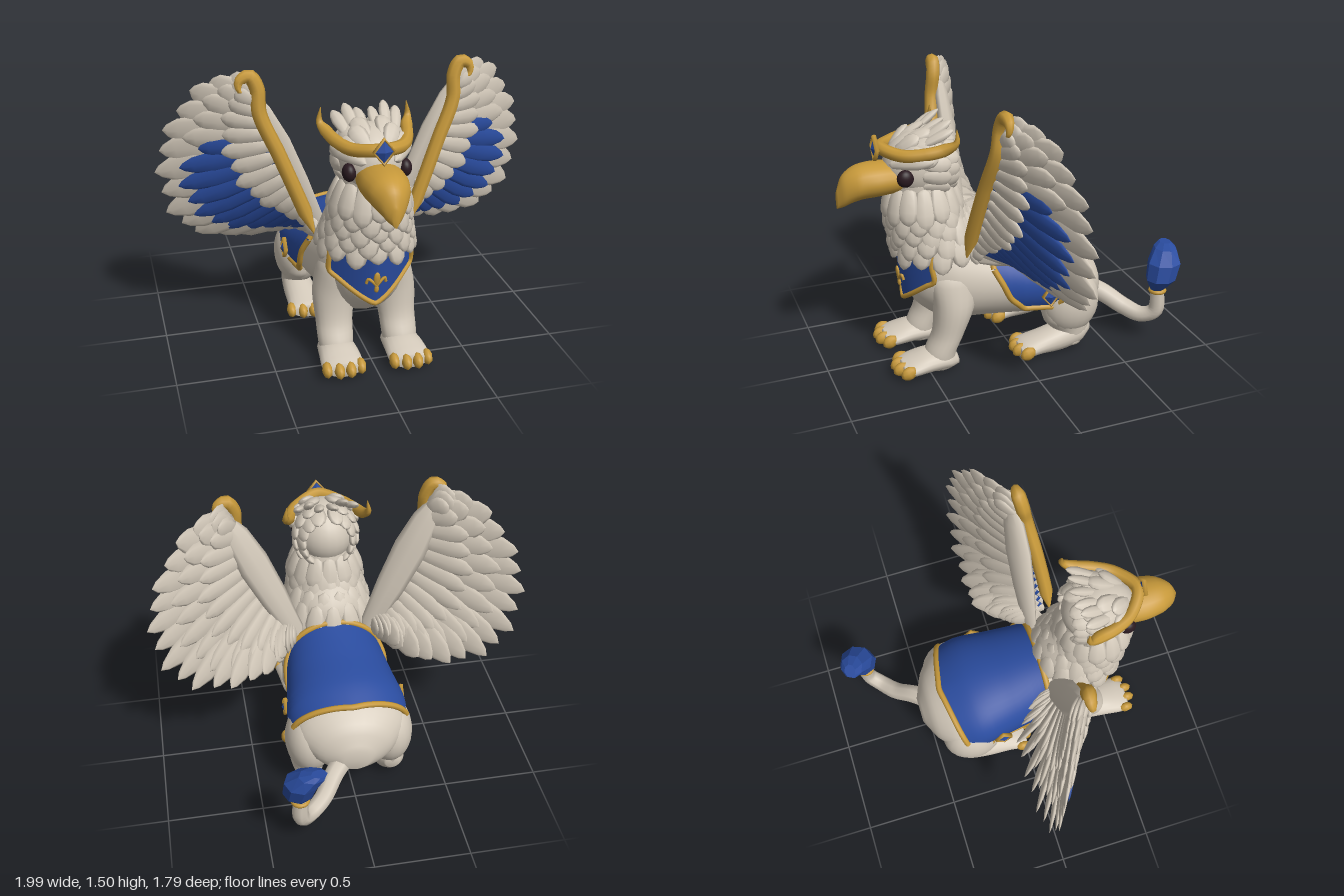
import * as THREE from 'three';
import { mergeVertices } from 'three/addons/utils/BufferGeometryUtils.js';

const V = (x, y, z) => new THREE.Vector3(x, y, z);
const lerp = THREE.MathUtils.lerp;

export function createModel() {
  const model = new THREE.Group();
  model.name = 'griffin';
  const mat = (name, color, extra = {}) => {
    const m = new THREE.MeshStandardMaterial({ color, ...extra });
    m.name = name;
    return m;
  };
  const cream = mat('cream', 0xd3c9ba);
  const blue = mat('blue', 0x2a4c9f, { side: THREE.DoubleSide });
  const gold = mat('gold', 0xc7993a);
  const dark = mat('dark', 0x2a1a20);

  const add = (name, geometry, material, parent = model) => {
    const mesh = new THREE.Mesh(geometry, material);
    mesh.name = name;
    parent.add(mesh);
    return mesh;
  };
  const group = (name) => {
    const g = new THREE.Group();
    g.name = name;
    model.add(g);
    return g;
  };

  // Surface from a rule f(u, v), smooth across seams
  const grid = (f, nu, nv) => {
    const pos = [], index = [];
    for (let j = 0; j <= nv; j++) for (let i = 0; i <= nu; i++) pos.push(...f(i / nu, j / nv).toArray());
    for (let j = 0; j < nv; j++) for (let i = 0; i < nu; i++) {
      const a = j * (nu + 1) + i, b = a + nu + 1;
      index.push(a, a + 1, b, a + 1, b + 1, b);
    }
    const g = new THREE.BufferGeometry();
    g.setAttribute('position', new THREE.Float32BufferAttribute(pos, 3));
    g.setIndex(index);
    const merged = mergeVertices(g, 1e-5);
    merged.computeVertexNormals();
    return merged;
  };

  // Elliptic cross-sections [x, y, z, radiusX, radiusOther] along the y or z axis
  const sampler = (rings) => {
    const centres = new THREE.CatmullRomCurve3(rings.map((r) => V(r[0], r[1], r[2])));
    const radii = new THREE.CatmullRomCurve3(rings.map((r) => V(r[3], r[4], 0)));
    return (t) => [centres.getPoint(t), radii.getPoint(t)];
  };
  const loft = (rings, axis, sides = 20, steps = 24) => {
    const at = sampler(rings), k = axis === 'y' ? 1 : 2;
    const flip = rings[rings.length - 1][k] < rings[0][k];
    return grid((u, v) => {
      const [c, r] = at(THREE.MathUtils.clamp((v * steps - 1) / (steps - 2), 0, 1));
      if (v === 0 || v === 1) return c;
      const a = (flip ? -1 : 1) * (Math.round(u * sides) % sides) / sides * Math.PI * 2;
      const x = Math.cos(a) * r.x, w = Math.sin(a) * r.y;
      return axis === 'y' ? V(c.x + x, c.y, c.z - w) : V(c.x + x, c.y + w, c.z);
    }, sides, steps);
  };
  // Tube whose radius follows a rule
  const tube = (points, radius, taper = () => 1, steps = 32, sides = 8) => {
    const curve = new THREE.CatmullRomCurve3(points);
    const g = new THREE.TubeGeometry(curve, steps, radius, sides);
    const p = g.attributes.position, v = V(0, 0, 0);
    for (let i = 0; i < p.count; i++) {
      const t = Math.floor(i / (sides + 1)) / steps, c = curve.getPointAt(t);
      v.fromBufferAttribute(p, i).sub(c).multiplyScalar(taper(t)).add(c);
      p.setXYZ(i, v.x, v.y, v.z);
    }
    return g;
  };
  const fadeEnds = (t) => Math.min(1, 0.05 + Math.min(t, 1 - t) * 7);

  // One flattened feather, reused everywhere
  const featherShape = new THREE.LatheGeometry([[0, 0], [0.3, 0.1], [0.44, 0.38], [0.5, 0.64], [0.4, 0.84], [0.2, 0.95], [0, 1]]
    .map(([x, y]) => new THREE.Vector2(x, y)), 8);
  const feather = (name, parent, material, root, tip, width, thick, normal) => {
    const m = add(name, featherShape, material, parent);
    const y = tip.clone().sub(root), len = y.length();
    y.normalize();
    const x = y.clone().cross(normal).normalize(), z = x.clone().cross(y);
    m.quaternion.setFromRotationMatrix(new THREE.Matrix4().makeBasis(x, y, z));
    m.position.copy(root);
    m.scale.set(width, len, thick);
  };
  const ellipsoid = (name, material, c, r, parent = model) => {
    const m = add(name, new THREE.SphereGeometry(1, 24, 16), material, parent);
    m.position.set(...c);
    m.scale.set(...r);
    return m;
  };

  // Body
  const bodyRings = [[0, 0.54, 0.565, 0.07, 0.09], [0, 0.52, 0.51, 0.15, 0.19], [0, 0.48, 0.35, 0.235, 0.26],
    [0, 0.44, 0.15, 0.255, 0.235], [0, 0.41, -0.05, 0.28, 0.22], [0, 0.39, -0.25, 0.305, 0.205],
    [0, 0.36, -0.38, 0.29, 0.18], [0, 0.33, -0.48, 0.2, 0.14], [0, 0.3, -0.54, 0.07, 0.06]];
  add('body', loft(bodyRings, 'z', 28, 36), cream);
  const bodyAt = sampler(bodyRings);

  // Saddle blanket draped over the body, with gold edging
  const drop = [1.1, 1.75, 2.05, 2.05, 2.05, 1.5, 1.36, 1.36];
  const drape = (u, s, k = 1.05) => {
    const [c, r] = bodyAt(lerp(0.375, 0.74, s));
    const i = Math.min(6, Math.floor(s * 7));
    const side = u * 2 - 1, a = side * lerp(drop[i], drop[i + 1], s * 7 - i);
    return V(c.x + r.x * k * Math.sin(a), c.y + r.y * k * Math.cos(a), c.z + s * s * (0.03 - 0.07 * (1 - Math.abs(side))));
  };
  add('blanket', grid((u, s) => drape(u, s), 32, 28), blue);
  const range = (n) => Array.from({ length: n }, (_, i) => i / (n - 1));
  for (const s of [0, 1]) add('blanketTrim', tube(range(15).map((u) => drape(u, s, 1.06)), 0.016), gold);
  for (const u of [0, 1]) add('blanketTrim', tube(range(15).slice(0, 10).map((s) => drape(u, s, 1.06)), 0.016), gold);

  // Chest bib with edging and a three-petal ornament
  const bibEdge = (u) => 0.365 + 0.16 * Math.pow(Math.abs(u), 1.25);
  const bibPoint = (u, y, lift = 0) => V(u * 0.21, y, 0.572 + 0.11 * (y - 0.36) - 0.125 * Math.pow(Math.abs(u), 1.6) + lift);
  add('bib', grid((u, v) => bibPoint(u * 2 - 1, lerp(bibEdge(u * 2 - 1), 0.68, v)), 20, 10), blue);
  const bibRim = range(13).map((t) => bibPoint(t * 2 - 1, bibEdge(t * 2 - 1)));
  add('bibTrim', tube([V(-0.21, 0.71, 0.44), bibPoint(-1, 0.63), ...bibRim, bibPoint(1, 0.63), V(0.21, 0.71, 0.44)], 0.014, undefined, 48), gold);
  const ornament = group('bibOrnament');
  const front = V(0, 0, 1);
  feather('petal', ornament, gold, bibPoint(0, 0.46, 0.008), bibPoint(0, 0.55, 0.008), 0.035, 0.02, front);
  feather('petalStem', ornament, gold, bibPoint(0, 0.48, 0.008), bibPoint(0, 0.43, 0.008), 0.025, 0.02, front);
  for (const s of [-1, 1]) add('petal', tube([bibPoint(0, 0.47, 0.008), bibPoint(s * 0.1, 0.495, 0.008),
    bibPoint(s * 0.2, 0.51, 0.008), bibPoint(s * 0.24, 0.485, 0.008)], 0.008, undefined, 10, 6), gold, ornament);

  // Diamond jewel in a gold frame, facing +z
  const jewel = (name, w, h) => {
    const g = group(name);
    add('stone', new THREE.OctahedronGeometry(1).scale(w, h, 0.02), blue, g);
    add('frame', new THREE.TorusGeometry(1, 0.13, 6, 4).scale(w, h, 0.1), gold, g);
    return g;
  };

  // Legs, paws and claws
  const claws = (parent, x, z, gap) => {
    for (let i = 0; i < 4; i++) {
      const outer = i % 3 === 0;
      const c = ellipsoid('claw', gold, [x + (i - 1.5) * gap, 0.05, z - (outer ? 0.025 : 0)], [0.027, 0.036, 0.045], parent);
      c.geometry = new THREE.SphereGeometry(1, 8, 6);
      c.rotation.x = 0.45;
    }
  };
  for (const s of [1, -1]) {
    const fore = group(s > 0 ? 'leftFrontLeg' : 'rightFrontLeg');
    add('frontLeg', loft([[s * 0.145, 0.6, 0.32, 0.03, 0.05], [s * 0.145, 0.5, 0.335, 0.095, 0.13], [s * 0.16, 0.35, 0.345, 0.11, 0.11],
      [s * 0.168, 0.2, 0.385, 0.096, 0.085], [s * 0.17, 0.1, 0.43, 0.092, 0.085], [s * 0.17, 0.02, 0.44, 0.08, 0.085]], 'y'), cream, fore);
    add('frontPaw', loft([[s * 0.17, 0.04, 0.34, 0.05, 0.03], [s * 0.17, 0.058, 0.4, 0.092, 0.055], [s * 0.172, 0.062, 0.5, 0.102, 0.058],
      [s * 0.174, 0.05, 0.6, 0.108, 0.046], [s * 0.174, 0.045, 0.65, 0.08, 0.035]], 'z'), cream, fore);
    claws(fore, s * 0.175, 0.655, 0.058);

    const hind = group(s > 0 ? 'leftHindLeg' : 'rightHindLeg');
    ellipsoid('thigh', cream, [s * 0.215, 0.28, -0.295], [0.13, 0.19, 0.165], hind);
    add('shin', loft([[s * 0.225, 0.3, -0.25, 0.09, 0.12], [s * 0.225, 0.2, -0.27, 0.09, 0.13], [s * 0.225, 0.12, -0.3, 0.08, 0.1],
      [s * 0.225, 0.04, -0.29, 0.07, 0.07]], 'y'), cream, hind);
    add('hindPaw', loft([[s * 0.225, 0.12, -0.4, 0.04, 0.04], [s * 0.225, 0.1, -0.34, 0.075, 0.075], [s * 0.225, 0.08, -0.24, 0.085, 0.078],
      [s * 0.222, 0.06, -0.1, 0.092, 0.057], [s * 0.22, 0.047, -0.02, 0.1, 0.045], [s * 0.22, 0.045, 0.01, 0.075, 0.033]], 'z'), cream, hind);
    claws(hind, s * 0.22, 0.005, 0.058);

    const g = jewel(s > 0 ? 'leftBlanketJewel' : 'rightBlanketJewel', 0.045, 0.055);
    g.position.set(s * 0.318, 0.38, -0.14);
    g.rotation.y = s * Math.PI / 2;
  }

  // Tail with a gold ring and a tuft
  add('tail', tube([V(0.03, 0.27, -0.44), V(0.12, 0.235, -0.54), V(0.2, 0.165, -0.64), V(0.28, 0.14, -0.71), V(0.33, 0.18, -0.765),
    V(0.335, 0.32, -0.77)], 0.058, (t) => 1 - 0.33 * t), cream);
  const ring = add('tailRing', new THREE.TorusGeometry(0.038, 0.012, 8, 16), gold);
  ring.position.set(0.335, 0.305, -0.77);
  ring.rotation.x = Math.PI / 2;
  const tuft = add('tailTuft', loft([[0.335, 0.31, -0.765, 0.035, 0.035], [0.345, 0.38, -0.78, 0.08, 0.083], [0.33, 0.47, -0.805, 0.088, 0.092],
    [0.28, 0.53, -0.835, 0.07, 0.06], [0.25, 0.55, -0.85, 0.04, 0.03]], 'y', 8, 6), blue);
  tuft.geometry = tuft.geometry.toNonIndexed();
  tuft.geometry.computeVertexNormals();

  // Neck and its rows of large hanging feathers
  const neckRings = [[0, 0.58, 0.35, 0.2, 0.22], [0, 0.75, 0.37, 0.2, 0.215], [0, 0.9, 0.43, 0.165, 0.175], [0, 1.04, 0.46, 0.15, 0.165]];
  add('neck', loft(neckRings, 'y'), cream);
  const neckAt = sampler(neckRings), ruff = group('neckFeathers');
  for (let row = 0; row < 5; row++) for (let i = 0; i < 14; i++) {
    const a = (i + (row % 2) / 2) / 14 * Math.PI * 2, [c, r] = neckAt(0.36 + row * 0.135);
    const out = V(Math.sin(a), 0, Math.cos(a));
    const root = V(c.x + out.x * r.x * 0.93, c.y + 0.02, c.z + out.z * r.y * 0.93);
    const tip = V(c.x + out.x * (r.x + 0.055), c.y - 0.165 - 0.025 * (i % 2), c.z + out.z * (r.y + 0.035));
    feather('neckFeather', ruff, cream, root, tip, 0.115, 0.055, out);
  }

  // Head, cheek feathers, brow and crest
  ellipsoid('head', cream, [0, 1.1, 0.46], [0.165, 0.175, 0.19]);
  const plumage = group('headFeathers');
  const onHead = (th, ph, k, s) => V(s * 0.165 * k * Math.sin(th) * Math.cos(ph), 1.1 + 0.175 * k * Math.sin(th) * Math.sin(ph), 0.46 + 0.19 * k * Math.cos(th));
  for (const s of [1, -1]) {
    for (let row = 0; row < 4; row++) for (let i = 0; i < 7; i++) {
      const th = 0.7 + row * 0.33, ph = -1.3 + i * 0.4 + (row % 2) * 0.18;
      if (row < 2 && Math.abs(ph + 0.12) < 0.45) continue;
      const root = onHead(th, ph, 0.96, s), tip = onHead(th + 0.75, ph - 0.1, 1.2, s);
      feather('cheekFeather', plumage, cream, root, tip, 0.095, 0.045, root.clone().sub(V(0, 1.1, 0.46)));
    }
    feather('brow', plumage, cream, V(s * 0.07, 1.14, 0.64), V(s * 0.195, 1.17, 0.44), 0.08, 0.07, V(s, 1, 0.3));
    [[0.03, 0.04, 1.31, 0.31], [0.07, 0.1, 1.34, 0.32], [0.11, 0.16, 1.31, 0.33]].forEach(([x, tx, ty, tz]) =>
      feather('crestFeather', plumage, cream, V(s * x, 1.22, 0.5), V(s * tx, ty, tz), 0.065, 0.04, V(s * 0.4, 1, 0.3)));
    ellipsoid('eye', dark, [s * 0.137, 1.08, 0.575], [0.034, 0.045, 0.043]);
  }

  // Hooked beak
  add('beak', loft([[0, 1.05, 0.58, 0.11, 0.08], [0, 1.05, 0.69, 0.118, 0.088], [0, 1.04, 0.79, 0.1, 0.088],
    [0, 1.005, 0.86, 0.058, 0.08], [0, 0.96, 0.895, 0.014, 0.045]], 'z'), gold);

  // Crown band with upswept ends and a brow jewel
  const half = [[0.215, 1.33, 0.33], [0.222, 1.26, 0.335], [0.2, 1.225, 0.39], [0.175, 1.205, 0.48], [0.12, 1.195, 0.585]];
  add('crown', tube([...half.map((p) => V(...p)), V(0, 1.21, 0.66),
    ...half.slice().reverse().map(([x, y, z]) => V(-x, y, z))], 0.032, fadeEnds, 64), gold);
  jewel('crownJewel', 0.05, 0.062).position.set(0, 1.21, 0.688);

  // Wings: feathers fan from the leading edge to an outline of tips
  const outline = new THREE.CatmullRomCurve3([[0.63, 1.44, 0.12], [0.77, 1.4, 0.05], [0.9, 1.24, -0.01], [0.98, 1.06, -0.05], [0.995, 0.87, -0.07],
    [0.95, 0.68, -0.09], [0.84, 0.56, -0.11], [0.68, 0.52, -0.11], [0.52, 0.54, -0.11], [0.39, 0.6, -0.09], [0.28, 0.66, 0.01]].map((p) => V(...p)));
  for (const s of [1, -1]) {
    const wing = group(s > 0 ? 'leftWing' : 'rightWing');
    const flip = (v) => V(v.x * s, v.y, v.z);
    const normal = V(0.43, -0.08, 0.88).normalize();
    const row = (name, material, count, t0, t1, reach, width, lift) => {
      for (let i = 0; i < count; i++) {
        const t = lerp(t0, t1, i / (count - 1));
        const root = V(lerp(0.52, 0.22, t), lerp(1.36, 0.64, t), lerp(0.2, 0.25, t));
        const tip = root.clone().lerp(outline.getPoint(t), reach(t) - 0.03 * (i % 2)).addScaledVector(normal, lift);
        root.addScaledVector(normal, lift * 0.6);
        feather(name, wing, material, flip(root), flip(tip), width, 0.034, flip(normal));
      }
    };
    row('flightFeather', cream, 17, 0, 1, () => 1, 0.165, 0);
    row('backFeather', cream, 14, 0.02, 1, () => 0.8, 0.145, -0.026);
    row('backCovert', cream, 13, 0.04, 1, () => 0.58, 0.115, -0.045);
    row('frontFeather', cream, 5, 0, 0.27, () => 0.78, 0.125, 0.02);
    row('blueFeather', blue, 11, 0.31, 0.9, (t) => (t < 0.35 ? 0.62 : 0.81), 0.11, 0.026);
    row('frontCovert', cream, 13, 0.02, 0.95, (t) => lerp(0.52, 0.22, t), 0.095, 0.042);
    feather('wingArm', wing, cream, flip(V(0.17, 0.56, 0.17)), flip(V(0.56, 1.42, 0.17)), 0.18, 0.09, flip(normal));
    add('wingEdge', tube([[0.24, 0.64, 0.3], [0.32, 0.85, 0.285], [0.41, 1.08, 0.26], [0.495, 1.29, 0.23], [0.5, 1.41, 0.215], [0.535, 1.47, 0.205],
      [0.585, 1.45, 0.205], [0.585, 1.4, 0.21], [0.55, 1.39, 0.215]].map((p) => flip(V(...p))), 0.037, fadeEnds, 56), gold, wing);
  }
  return model;
}
